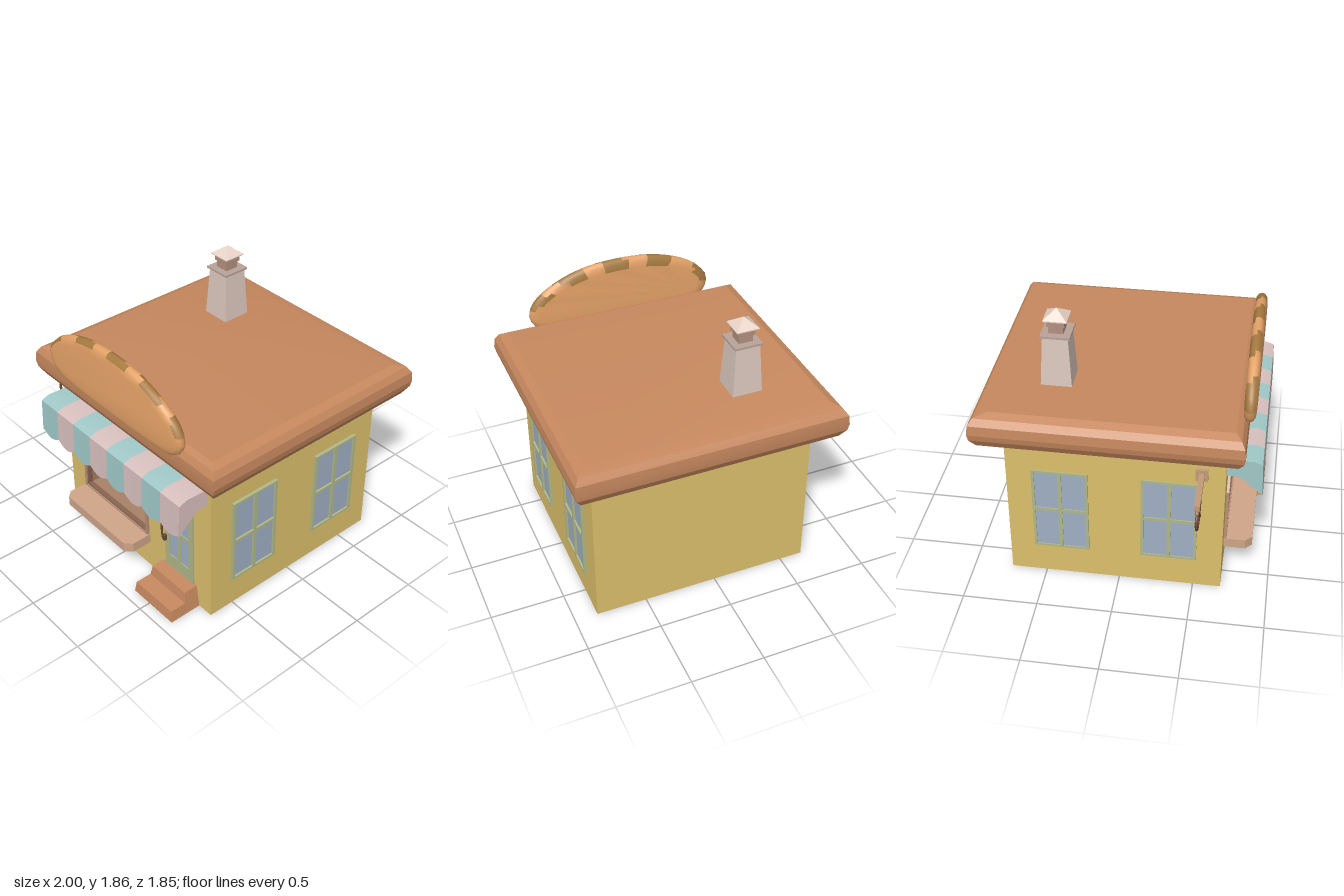
import * as THREE from 'three';
import { toCreasedNormals } from 'three/addons/utils/BufferGeometryUtils.js';

const WALL = 0xdcc06c, ROOF = 0xc6885e, GREEN = 0xb0b888, GLASS = 0x9fafc4, WOOD = 0xc29b79,
  DARK = 0x6e4a38, FRAME = 0xa98168, STONE = 0xdcc8be, TEAL = 0xa0c8c8, PINK = 0xd8c0be;

function add(parent, name, geo, color, doubleSide = false) {
  const material = new THREE.MeshStandardMaterial({ color, side: doubleSide ? THREE.DoubleSide : THREE.FrontSide });
  const mesh = new THREE.Mesh(geo, material);
  mesh.name = name;
  parent.add(mesh);
  return mesh;
}

// Box from its minimum and maximum corners
function box(x0, x1, y0, y1, z0, z1) {
  return new THREE.BoxGeometry(x1 - x0, y1 - y0, z1 - z0)
    .translate((x0 + x1) / 2, (y0 + y1) / 2, (z0 + z1) / 2);
}

const poly = (pts) => new THREE.Shape(pts.map(([x, y]) => new THREE.Vector2(x, y)));
const rect = (x0, x1, y0, y1) => poly([[x0, y0], [x1, y0], [x1, y1], [x0, y1]]);

// Flat plate with holes, standing between z0 and z1
function plate(shape, holes, z0, z1) {
  shape.holes = holes;
  return new THREE.ExtrudeGeometry(shape, { depth: z1 - z0, bevelEnabled: false }).translate(0, 0, z0);
}

// Skin over matching rings of points; keep(i, j) selects the quads
function loft(rings, crease = 0.1, caps = true, keep = () => true) {
  const n = rings[0].length, last = rings.length - 1, idx = [];
  for (let i = 0; i < last; i++) {
    for (let j = 0; j < n; j++) {
      if (!keep(i, j)) continue;
      const a = i * n + j, b = i * n + (j + 1) % n;
      idx.push(a, b, b + n, a, b + n, a + n);
    }
  }
  for (let j = 1; caps && j < n - 1; j++) {
    idx.push(0, j + 1, j, last * n, last * n + j, last * n + j + 1);
  }
  const geo = new THREE.BufferGeometry();
  geo.setAttribute('position', new THREE.Float32BufferAttribute(rings.flat(2), 3));
  geo.setIndex(idx);
  return toCreasedNormals(geo, crease);
}

const rectRing = (y, x0, x1, z0, z1) => [[x0, y, z1], [x1, y, z1], [x1, y, z0], [x0, y, z0]];
const squareRing = (x, z) => ([y, r]) => rectRing(y, x - r, x + r, z - r, z + r);

// Two by two panes: frame plate in front of glass, facing +z
function glazing(parent, name, [x0, x1, y0, y1], xs, ys, depth) {
  const g = new THREE.Group();
  g.name = name;
  const holes = [];
  for (const i of [0, 2]) for (const j of [0, 2]) holes.push(rect(xs[i], xs[i + 1], ys[j], ys[j + 1]));
  add(g, 'frame', plate(rect(x0, x1, y0, y1), holes, 0, depth), GREEN);
  add(g, 'glass', box(xs[0], xs[3], ys[0], ys[3], 0, depth * 0.35), GLASS);
  parent.add(g);
  return g;
}

// Shop opening outline, inset by d
const opening = (d) => poly([[-0.487 + d, 0.27 + d], [0.218 - d, 0.27 + d], [0.215 - d, 0.67 - d * 0.4],
  [0.125 - d * 0.4, 0.763 - d], [-0.38 + d * 0.4, 0.763 - d], [-0.475 + d, 0.665 - d * 0.4]]);

function addLoaf(parent) {
  const outline = [[-0.6, 1.41], [-0.575, 1.465], [-0.46, 1.575], [-0.22, 1.67], [0.065, 1.7], [0.34, 1.675],
    [0.57, 1.585], [0.7, 1.48], [0.735, 1.39], [0.7, 1.305], [0.62, 1.262], [0.4, 1.24], [0.06, 1.235],
    [-0.3, 1.242], [-0.46, 1.258], [-0.565, 1.31]].reverse();
  const curve = new THREE.CatmullRomCurve3(outline.map(([x, y]) => new THREE.Vector3(x, y, 0)), true);
  const pts = curve.getSpacedPoints(64).slice(0, 64);
  const cx = 0.065, cy = 1.44;
  // each ring: z and distance inward from the outline
  const rings = [[0.763, 0.07], [0.767, 0.03], [0.782, 0.007], [0.802, 0], [0.822, 0.007], [0.837, 0.03], [0.842, 0.07]]
    .map(([z, d]) => pts.map((p) => [cx + (p.x - cx) * (1 - d / 0.667), cy + (p.y - cy) * (1 - d / 0.25), z]));
  const bands = [[-0.62, -0.46], [-0.28, -0.1], [0.06, 0.24], [0.38, 0.55], [0.66, 0.75]];
  const toasted = (i, j) => {
    const p = pts[j], x = p.x - (i - 2.5) * 0.015;
    return p.y > 1.4 && i < 5 && bands.some(([a, b]) => x > a && x < b);
  };
  add(parent, 'loaf', loft(rings, 1, true, (i, j) => !toasted(i, j)), 0xe6a368);
  add(parent, 'loafToastedBands', loft(rings, 1, false, toasted), 0xa67a40);
}

function addAwning(parent) {
  const g = new THREE.Group(), x0 = -0.622, w = 0.1795, cols = 8;
  g.name = 'awning';
  const rows = [[1.045, 0.685], [1.05, 0.85], [1.03, 0.908], [0.805, 0.918]];
  for (let s = 0; s < 8; s++) {
    const geo = new THREE.PlaneGeometry(1, 1, cols, 3), pos = geo.attributes.position;
    for (let k = 0; k < pos.count; k++) {
      const r = Math.floor(k / (cols + 1)), u = (k % (cols + 1)) / cols;
      const scallop = r === 3 ? 0.036 * Math.sin(Math.PI * u) : 0;
      pos.setXYZ(k, x0 + (s + u) * w, rows[r][0] - scallop, rows[r][1]);
    }
    add(g, 'awningStripe', toCreasedNormals(geo, 0.4), s % 2 ? PINK : TEAL, true);
  }
  const profile = [[0.685, 0.925], [0.77, 0.922], [0.918, 0.79], [0.908, 1.03], [0.85, 1.05], [0.685, 1.045]];
  [[x0, TEAL], [x0 + 8 * w, PINK]].forEach(([x, color]) => add(g, 'awningEnd',
    new THREE.ShapeGeometry(poly(profile)).rotateY(-Math.PI / 2).translate(x, 0, 0), color, true));
  parent.add(g);
}

function addChimney(parent) {
  const ring = squareRing(-0.288, -0.44);
  const stack = (name, color, ...steps) => add(parent, name, loft(steps.map(ring)), color);
  stack('chimneyBody', STONE, [1.33, 0.102], [1.685, 0.082]);
  stack('chimneyRim', 0xb8a298, [1.682, 0.096], [1.696, 0.096]);
  stack('chimneyNeck', 0xb3917f, [1.696, 0.048], [1.745, 0.048], [1.745, 0.058], [1.775, 0.058], [1.775, 0.05], [1.792, 0.05]);
  stack('chimneyCap', 0xe8d3c6, [1.79, 0.077], [1.797, 0.077], [1.855, 0.001]);
}

function addHangingSign(parent) {
  const g = new THREE.Group(), z = 0.533;
  g.name = 'hangingSign';
  add(g, 'signBar', box(-1, -0.67, 0.933, 0.967, z - 0.018, z + 0.018), WOOD);
  add(g, 'signMount', box(-0.68, -0.655, 0.905, 0.99, z - 0.04, z + 0.04), WOOD);
  for (const x of [-0.937, -0.806]) add(g, 'signHanger', box(x - 0.008, x + 0.008, 0.835, 0.935, z - 0.008, z + 0.008), WOOD);
  // knotted dough: one strand looping round and crossing itself
  const half = [[0.05, 0.745], [0.025, 0.76], [-0.025, 0.825], [-0.06, 0.848], [-0.098, 0.82], [-0.098, 0.77], [-0.055, 0.718]];
  const path = [...half, [0, 0.708], ...half.map(([x, y]) => [-x, y]).reverse()];
  const curve = new THREE.CatmullRomCurve3(path.map(([x, y], i) =>
    new THREE.Vector3(-0.87 + x, y, z + (i < 3 ? 0.006 : i > 11 ? -0.006 : 0))));
  add(g, 'pretzel', new THREE.TubeGeometry(curve, 64, 0.01, 8), DARK);
  parent.add(g);
}

export function createModel() {
  const model = new THREE.Group();
  model.name = 'bakery';

  // Walls: solid rear block and a front block pierced by the shop opening
  add(model, 'rearWalls', box(-0.66, 0.845, 0, 1.12, -0.74, 0.4), WALL);
  add(model, 'frontWall', plate(rect(-0.66, 0.845, 0, 1.12), [opening(0.01)], 0.4, 0.685), WALL);

  // Roof: pillow-edged slab
  add(model, 'roof', loft([
    rectRing(1.085, -0.7, 0.88, -0.83, 0.72), rectRing(1.105, -0.775, 0.955, -0.885, 0.762),
    rectRing(1.165, -0.812, 0.99, -0.92, 0.797), rectRing(1.21, -0.822, 1, -0.925, 0.803),
    rectRing(1.275, -0.815, 0.993, -0.92, 0.797), rectRing(1.318, -0.785, 0.965, -0.89, 0.773),
    rectRing(1.34, -0.73, 0.91, -0.805, 0.735)], 0.3), ROOF);

  // Shop opening: recess, frame mouldings and sill
  add(model, 'recessBack', plate(opening(0.01), [], 0.401, 0.405), 0xc38860);
  add(model, 'recessLining', plate(opening(0.005), [opening(0.03)], 0.402, 0.69), FRAME);
  add(model, 'openingFrame', plate(opening(0), [opening(0.02)], 0.68, 0.703), 0xb88f76);
  add(model, 'openingInnerFrame', plate(opening(0.014), [opening(0.032)], 0.66, 0.694), 0x8a6450);
  const sill = poly([[-0.49, 0.68], [0.225, 0.68], [0.225, 0.83], [0.18, 0.875], [-0.445, 0.875], [-0.49, 0.83]]);
  add(model, 'sill', plate(sill, [], 0, 0.07).rotateX(Math.PI / 2).translate(0, 0.28, 0), 0xcea488);

  // Door with handle and steps
  const door = glazing(model, 'door', [0.4, 0.68, 0.15, 0.87],
    [0.445, 0.52, 0.555, 0.635], [0.262, 0.487, 0.51, 0.745], 0.01);
  door.position.z = 0.685;
  const grip = [[0.37, 0.7], [0.39, 0.718], [0.45, 0.728], [0.55, 0.728], [0.61, 0.718], [0.63, 0.7]]
    .map(([y, z]) => new THREE.Vector3(0.41, y, z));
  add(model, 'doorHandle', new THREE.TubeGeometry(new THREE.CatmullRomCurve3(grip), 24, 0.007, 8), DARK);
  for (const y of [0.395, 0.605]) add(model, 'handleMount', box(0.4, 0.42, y - 0.022, y + 0.022, 0.69, 0.717), DARK);
  add(model, 'lowerStep', loft([rectRing(0, 0.345, 0.73, 0.68, 0.92), rectRing(0.083, 0.358, 0.718, 0.68, 0.912)]), 0xc88a60);
  add(model, 'upperStep', loft([rectRing(0.08, 0.358, 0.718, 0.68, 0.797), rectRing(0.16, 0.372, 0.704, 0.68, 0.785)]), 0xc88a60);

  // Two windows on each side wall
  for (const [side, x, depth] of [[1, 0.845, 0.022], [-1, -0.66, 0.012]]) {
    for (const z of [0.33, -0.387]) {
      const win = glazing(model, 'sideWindow', [-0.186, 0.186, 0.225, 0.86],
        [-0.167, -0.012, 0.012, 0.167], [0.24, 0.533, 0.555, 0.845], depth);
      win.rotation.y = side * Math.PI / 2;
      win.position.set(x, 0, z);
    }
  }

  addLoaf(model);
  addAwning(model);
  addChimney(model);
  addHangingSign(model);
  return model;
}
